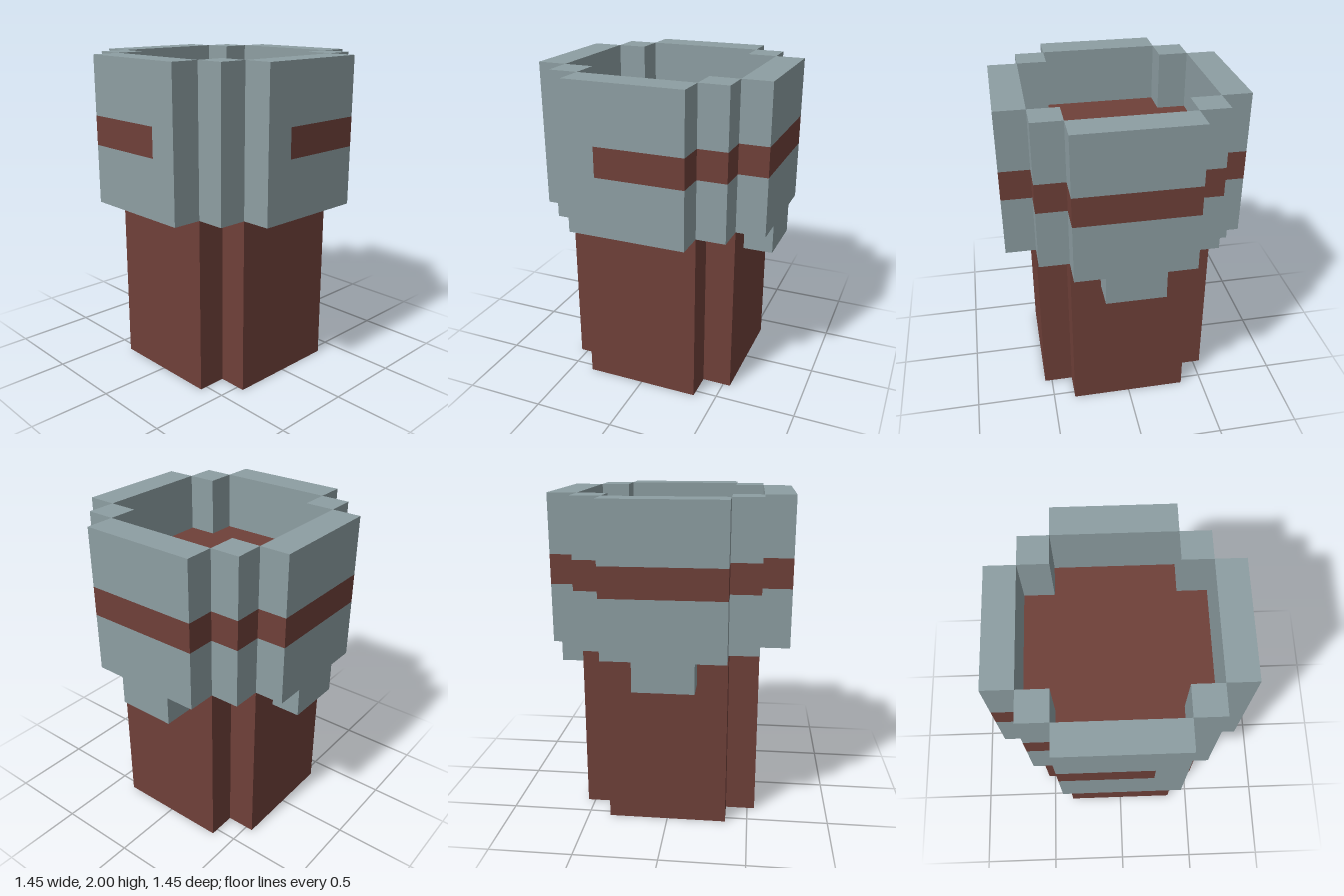
import * as THREE from 'three';

const U = 2 / 11; // one block

export function createModel() {
  const stone = new THREE.MeshStandardMaterial({ color: 0x8d9ea2 });
  stone.name = 'grey stone';
  const brick = new THREE.MeshStandardMaterial({ color: 0x6f4039 });
  brick.name = 'red brown brick';

  const model = new THREE.Group();
  model.name = 'blockTower';

  // Box between two corners, measured in blocks
  function box(name, material, [x0, x1], [y0, y1], [z0, z1], parent) {
    const geometry = new THREE.BoxGeometry((x1 - x0) * U, (y1 - y0) * U, (z1 - z0) * U);
    const mesh = new THREE.Mesh(geometry, material);
    mesh.position.set((x0 + x1) / 2 * U, (y0 + y1) / 2 * U, (z0 + z1) / 2 * U);
    mesh.name = name;
    parent.add(mesh);
  }

  // Notched-corner column, its top is the floor inside the rim
  const outline = [[3, -2], [3, 2], [2, 2], [2, 3], [-2, 3], [-2, 2], [-3, 2], [-3, -2], [-2, -2], [-2, -3], [2, -3], [2, -2]];
  const shape = new THREE.Shape(outline.map(([x, y]) => new THREE.Vector2(x * U, y * U)));
  const columnGeometry = new THREE.ExtrudeGeometry(shape, { depth: 9 * U, bevelEnabled: false });
  columnGeometry.rotateX(-Math.PI / 2);
  const column = new THREE.Mesh(columnGeometry, brick);
  column.name = 'column';
  model.add(column);

  // Rim segments: four walls and four corner posts.
  // bandX / bandZ limit the band where it stops short of the front left corner.
  const segments = [
    { name: 'frontWall', x: [-2, 2], z: [3, 4], bandX: [-2, 1], restX: [1, 2] },
    { name: 'backWall', x: [-2, 2], z: [-4, -3] },
    { name: 'leftWall', x: [3, 4], z: [-2, 2], bandZ: [-2, 1], restZ: [1, 2] },
    { name: 'rightWall', x: [-4, -3], z: [-2, 2] },
    { name: 'frontLeftPost', x: [2, 3], z: [2, 3], plain: true },
    { name: 'frontRightPost', x: [-3, -2], z: [2, 3] },
    { name: 'backLeftPost', x: [2, 3], z: [-3, -2] },
    { name: 'backRightPost', x: [-3, -2], z: [-3, -2] },
  ];
  for (const s of segments) {
    const part = new THREE.Group();
    part.name = s.name;
    model.add(part);
    if (s.plain) {
      box('post', stone, s.x, [6, 11], s.z, part);
      continue;
    }
    box('lowerWall', stone, s.x, [6, 8], s.z, part);
    box('band', brick, s.bandX ?? s.x, [8, 9], s.bandZ ?? s.z, part);
    if (s.restX || s.restZ) box('bandEnd', stone, s.restX ?? s.x, [8, 9], s.restZ ?? s.z, part);
    box('upperWall', stone, s.x, [9, 11], s.z, part);
  }

  // Tabs hanging below the back and right walls
  box('backTab', stone, [-1, 1], [5, 6], [-4, -3], model);
  box('rightTab', stone, [-4, -3], [5, 6], [-1, 1], model);

  return model;
}
